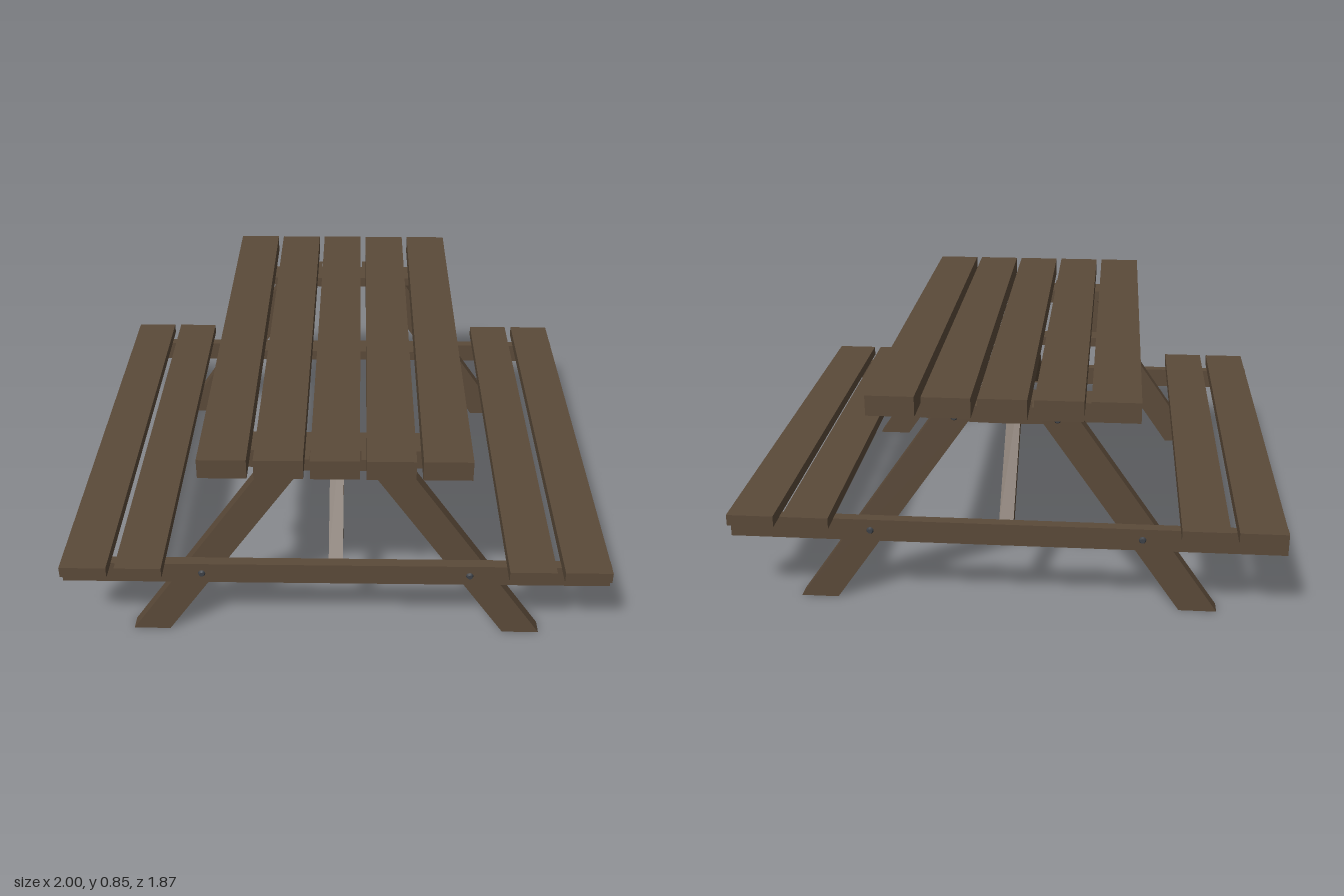
import * as THREE from 'three';

const wood = new THREE.MeshStandardMaterial({ color: 0x5b4a39 });
const steel = new THREE.MeshStandardMaterial({ color: 0x3c4046 });

function add(parent, name, geometry, material = wood) {
  const mesh = new THREE.Mesh(geometry, material);
  mesh.name = name;
  parent.add(mesh);
  return mesh;
}

// Box given by its centre in x and its y and z ranges
function board(parent, name, x, width, y0, y1, z0, z1) {
  const mesh = add(parent, name, new THREE.BoxGeometry(width, y1 - y0, z1 - z0));
  mesh.position.set(x, (y0 + y1) / 2, (z0 + z1) / 2);
  return mesh;
}

// Flat outline sawn to a thickness
function sawn(points, depth) {
  const shape = new THREE.Shape(points.map(([x, y]) => new THREE.Vector2(x, y)));
  return new THREE.ExtrudeGeometry(shape, { depth, bevelEnabled: false });
}

function bolt(parent, x, y, z) {
  const geometry = new THREE.CylinderGeometry(0.009, 0.016, 0.014, 10).rotateX(Math.PI / 2);
  add(parent, 'bolt', geometry, steel).position.set(x, y, z);
}

// One end frame, built at +z
function createEndFrame() {
  const frame = new THREE.Group();

  board(frame, 'seatBeam', 0, 2, 0.262, 0.345, 0.817, 0.857);
  board(frame, 'topBatten', 0, 0.9, 0.745, 0.78, 0.64, 0.728);

  for (const side of [-1, 1]) {
    // Splayed leg, cut level at the foot and at the top
    const outline = [[0.767, 0], [0.63, 0], [0.09, 0.78], [0.227, 0.78]];
    const leg = add(frame, 'leg', sawn(outline.map(([x, y]) => [x * side, y]), 0.057));
    leg.position.z = 0.76;
    bolt(frame, side * 0.18, 0.737, 0.819);
    bolt(frame, side * 0.488, 0.303, 0.859);
  }

  // Cross rail under the top, with a bowed lower edge
  const rail = [[0.465, 0.78], [-0.465, 0.78]];
  for (let i = 0; i <= 16; i++) {
    const t = i / 8 - 1;
    rail.push([t * 0.465, 0.695 + 0.04 * Math.abs(t) ** 2.4]);
  }
  add(frame, 'topRail', sawn(rail, 0.033)).position.z = 0.728;

  // Diagonal brace from the seat beam up to the table top
  const brace = sawn([[0.817, 0.332], [0.817, 0.27], [0.26, 0.78], [0.312, 0.78]], 0.052);
  add(frame, 'diagonalBrace', brace.rotateY(-Math.PI / 2)).position.x = 0.026;

  return frame;
}

export function createModel() {
  const table = new THREE.Group();
  table.name = 'picnicTable';

  // Five table top planks
  for (let i = -2; i <= 2; i++) {
    board(table, 'topPlank', i * 0.191, 0.168, 0.78, 0.853, -0.935, 0.935);
  }

  // Two planks for each bench
  for (const x of [-0.902, -0.705, 0.705, 0.902]) {
    board(table, 'benchPlank', x, 0.168, 0.343, 0.384, -0.935, 0.935);
  }

  board(table, 'middleBatten', 0, 0.9, 0.745, 0.78, -0.04, 0.04);

  // Matching frames at both ends
  const front = createEndFrame();
  front.name = 'frontFrame';
  const back = createEndFrame();
  back.name = 'backFrame';
  back.rotation.y = Math.PI;
  table.add(front, back);

  return table;
}
